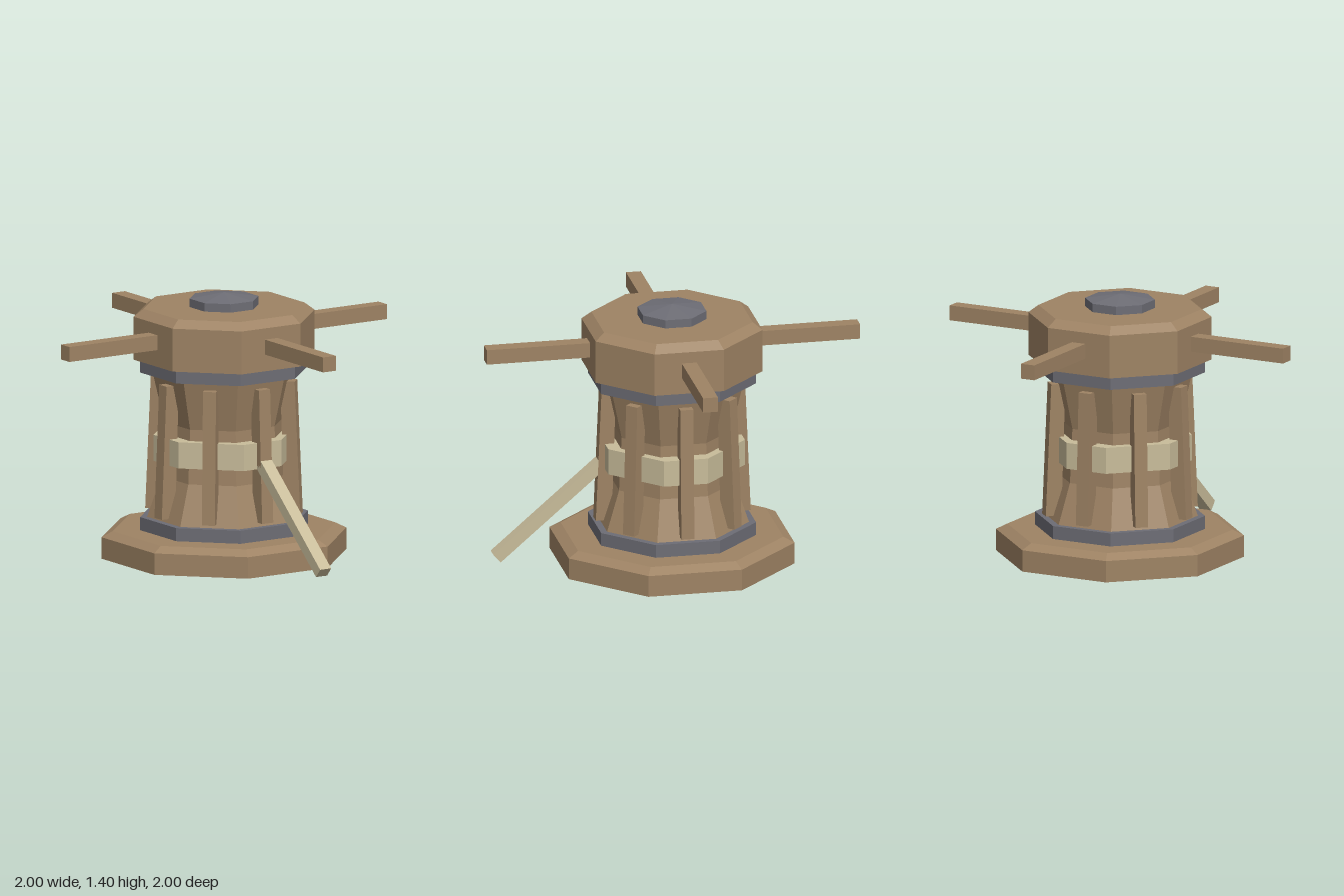
import * as THREE from 'three';

const wood = new THREE.MeshStandardMaterial({ color: 0x9e8364 });
wood.name = 'wood';
const paleWood = new THREE.MeshStandardMaterial({ color: 0xc8bc9a });
paleWood.name = 'paleWood';
const iron = new THREE.MeshStandardMaterial({ color: 0x6d6d75 });
iron.name = 'iron';

// Faceted octagonal solid from [distance to flat, height] points, flats facing the axes
function octagon(profile) {
  const k = 1 / Math.cos(Math.PI / 8);
  const pts = profile.map(([a, y]) => new THREE.Vector2(a * k, y));
  const geo = new THREE.LatheGeometry(pts, 8, Math.PI / 8).toNonIndexed();
  geo.computeVertexNormals();
  return geo;
}

export function createModel() {
  const group = new THREE.Group();
  const add = (name, geo, mat) => {
    const mesh = new THREE.Mesh(geo, mat);
    mesh.name = name;
    group.add(mesh);
    return mesh;
  };

  // Base, iron bands, waisted drum, head and cap
  add('base', octagon([[0, 0], [0.605, 0], [0.605, 0.115], [0.55, 0.145], [0, 0.145]]), wood);
  add('lowerBand', octagon([[0, 0.145], [0.415, 0.145], [0.415, 0.215], [0, 0.215]]), iron);
  add('drum', octagon([[0.385, 0.2], [0.31, 0.43], [0.295, 0.72], [0.355, 1.0]]), wood);
  add('upperBand', octagon([[0, 0.99], [0.415, 0.99], [0.415, 1.06], [0, 1.06]]), iron);
  add('head', octagon([[0, 1.06], [0.447, 1.06], [0.447, 1.29], [0.398, 1.33], [0, 1.33]]), wood);
  add('cap', octagon([[0, 1.33], [0.17, 1.33], [0.17, 1.375], [0, 1.403]]), iron);

  // Eight tapering ribs around the drum
  const ribShape = new THREE.Shape([[0.33, 0.235], [0.415, 0.235], [0.385, 0.945], [0.308, 0.945]]
    .map(([r, y]) => new THREE.Vector2(r, y)));
  const ribGeo = new THREE.ExtrudeGeometry(ribShape, { depth: 0.07, bevelEnabled: false });
  ribGeo.translate(0, 0, -0.035);
  for (let i = 0; i < 8; i++) add('rib', ribGeo, wood).rotation.y = i * Math.PI / 4;

  // Pale blocks between the ribs, forming one ring with the ribs standing proud
  const c = 0.118, f = 0.366;
  const ring = new THREE.Shape([[c, f], [-c, f], [-f, c], [-f, -c], [-c, -f], [c, -f], [f, -c], [f, c]]
    .map(([x, y]) => new THREE.Vector2(x, y)));
  const ringGeo = new THREE.ExtrudeGeometry(ring, { depth: 0.14, bevelEnabled: false });
  ringGeo.rotateX(-Math.PI / 2).translate(0, 0.52, 0);
  add('chocks', ringGeo, paleWood);

  // Four push bars
  const barGeo = new THREE.BoxGeometry(0.6, 0.08, 0.08).translate(0.7, 1.19, 0);
  for (let i = 0; i < 4; i++) add('bar', barGeo, wood).rotation.y = i * Math.PI / 2;

  // Slanting pawl at the front
  const start = new THREE.Vector3(0, 0.565, 0.36);
  const end = new THREE.Vector3(0, 0.0625, 0.945);
  const pawl = add('pawl', new THREE.BoxGeometry(0.07, 0.06, start.distanceTo(end)), paleWood);
  pawl.position.copy(start).add(end).multiplyScalar(0.5);
  pawl.rotation.x = Math.atan2(start.y - end.y, end.z - start.z);

  return group;
}
